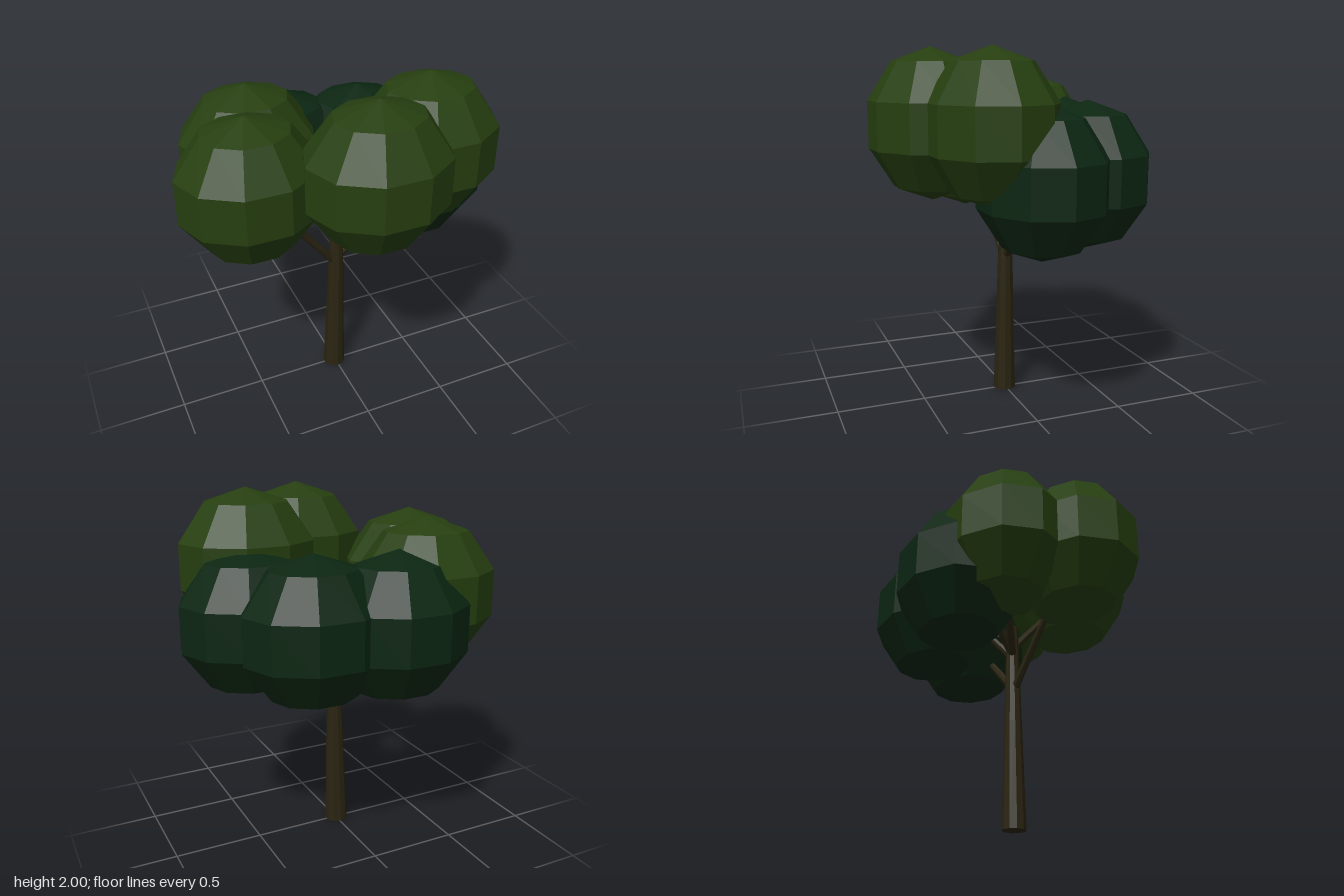
import * as THREE from 'three';

const material = (name, color) => {
  const m = new THREE.MeshStandardMaterial({ color, flatShading: true });
  m.name = name;
  return m;
};

export function createModel() {
  const bark = material('bark brown', 0x2a2411);
  const leaf = material('leaf green', 0x263f10);
  const shade = material('deep green', 0x0c2612);
  const tree = new THREE.Group();
  tree.name = 'tree';

  // Tapered limb between two points
  const limb = (name, from, to, r0, r1, sides) => {
    const a = new THREE.Vector3(...from), b = new THREE.Vector3(...to);
    const dir = b.clone().sub(a);
    const mesh = new THREE.Mesh(new THREE.CylinderGeometry(r1, r0, dir.length(), sides), bark);
    mesh.name = name;
    mesh.position.copy(a).add(b).multiplyScalar(0.5);
    mesh.quaternion.setFromUnitVectors(new THREE.Vector3(0, 1, 0), dir.normalize());
    tree.add(mesh);
  };

  // Trunk, leaning very slightly; lower part then thinner crown part
  const trunk = new THREE.CylinderGeometry(0.033, 0.066, 1.2, 10, 2);
  trunk.translate(0, 0.6, 0);
  const p = trunk.attributes.position;
  for (let i = 0; i < p.count; i++) p.setX(i, p.getX(i) - 0.005 + 0.02 * p.getY(i) / 1.2);
  const trunkMesh = new THREE.Mesh(trunk, bark);
  trunkMesh.name = 'trunk';
  tree.add(trunkMesh);

  // Branches reaching into the foliage
  [
    [[0, 0.79, 0], [-0.42, 1.32, 0.05]],
    [[0, 0.8, 0], [0.45, 1.25, 0]],
    [[0.01, 1.0, 0], [-0.3, 1.36, -0.24]],
    [[0.01, 1.0, 0], [0.24, 1.38, -0.27]],
    [[0.01, 1.06, 0], [0.03, 1.4, 0.3]],
    [[0.01, 1.02, 0], [-0.1, 1.35, -0.3]],
  ].forEach(([a, b]) => limb('branch', a, b, 0.024, 0.016, 8));

  // Foliage clumps: faceted ellipsoids, all the same size
  const clump = new THREE.SphereGeometry(1, 10, 5).scale(0.407, 0.41, 0.354);
  const foliage = (name, mat, spots) => spots.forEach((spot) => {
    const mesh = new THREE.Mesh(clump, mat);
    mesh.name = name;
    mesh.position.set(...spot);
    tree.add(mesh);
  });
  foliage('brightFoliage', leaf, [
    [0.04, 1.59, 0.437],
    [0.43, 1.59, 0.23],
    [-0.513, 1.45, 0.07],
    [-0.388, 1.45, -0.31],
  ]);
  foliage('darkFoliage', shade, [
    [-0.145, 1.31, -0.44],
    [0.305, 1.31, -0.364],
    [0.513, 1.31, -0.01],
  ]);
  return tree;
}
